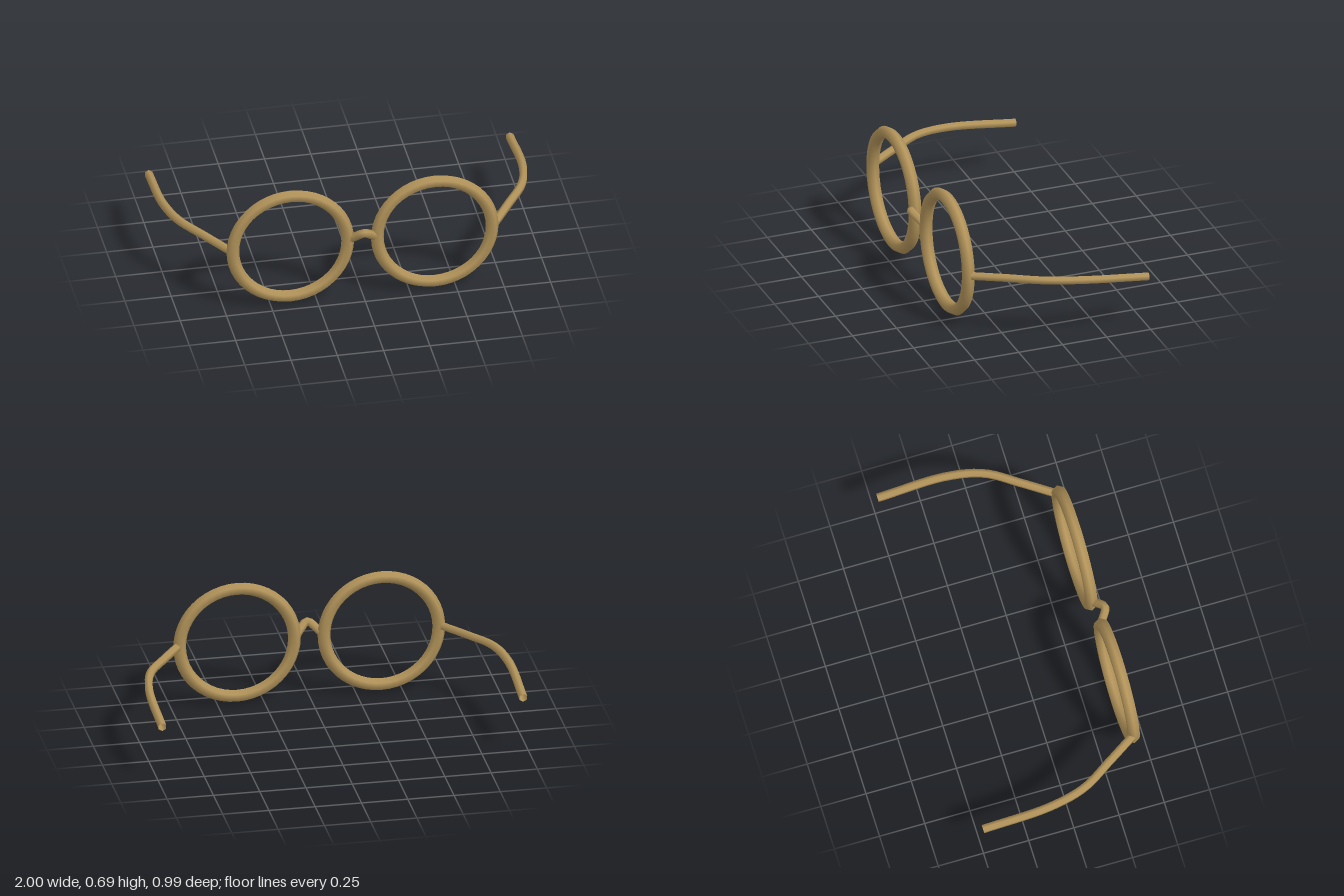
import * as THREE from 'three';

const brass = new THREE.MeshStandardMaterial({ color: 0xb3945a, side: THREE.DoubleSide });
brass.name = 'brass';

// Thin hexagonal wire following a smooth curve through the points
function wire(name, points, radius, steps) {
  const curve = new THREE.CatmullRomCurve3(points.map((p) => new THREE.Vector3(...p)));
  const mesh = new THREE.Mesh(new THREE.TubeGeometry(curve, steps, radius, 6, false), brass);
  mesh.name = name;
  return mesh;
}

export function createModel() {
  const group = new THREE.Group();
  group.name = 'roundGlasses';

  for (const [side, s] of [['left', 1], ['right', -1]]) {
    // Round lens rim
    const rim = new THREE.Mesh(new THREE.TorusGeometry(0.31, 0.0345, 6, 48), brass);
    rim.name = side + 'Rim';
    rim.position.set(s * 0.39, 0.348, 0.42);
    group.add(rim);

    // Temple arm bending outward, then straight back and slightly down
    group.add(wire(side + 'Temple', [
      [s * 0.715, 0.352, 0.41],
      [s * 0.82, 0.36, 0.25],
      [s * 0.925, 0.364, 0.08],
      [s * 0.971, 0.351, -0.12],
      [s * 0.975, 0.307, -0.495],
    ], 0.0235, 24));
  }

  // Arched nose bridge, rising forward between the rims
  group.add(wire('bridge', [
    [-0.08, 0.345, 0.415],
    [-0.045, 0.381, 0.445],
    [0, 0.413, 0.473],
    [0.045, 0.381, 0.445],
    [0.08, 0.345, 0.415],
  ], 0.0235, 16));

  return group;
}
